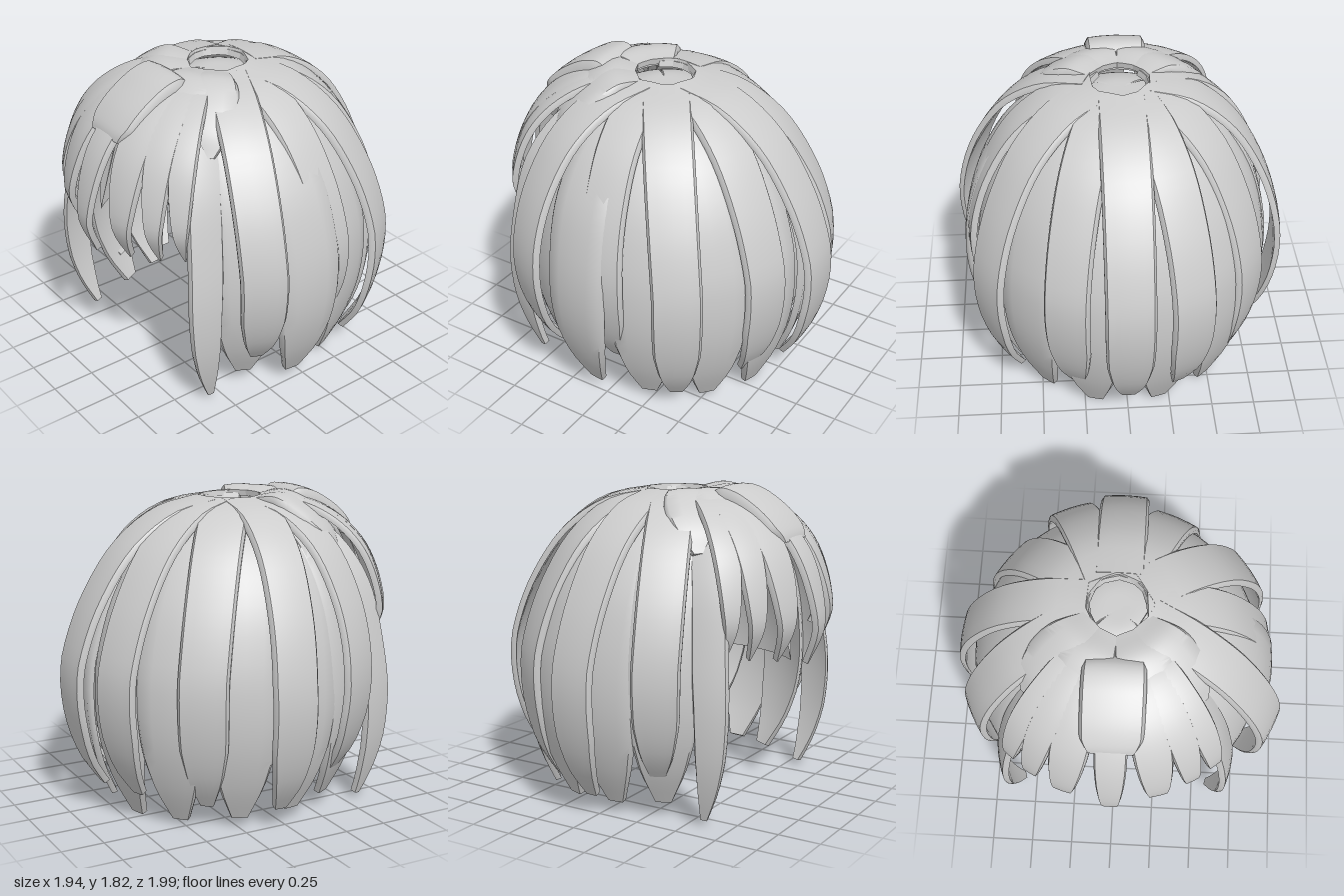
import * as THREE from 'three';
import { toCreasedNormals } from 'three/addons/utils/BufferGeometryUtils.js';

const rad = THREE.MathUtils.degToRad;
const ROWS = 26;

// Side profiles as [distance from crown axis, height]
const INNER = [[.16, 1.775], [.36, 1.71], [.58, 1.55], [.75, 1.29], [.84, 1.0], [.87, .75], [.855, .5], [.79, .25], [.7, .05]];
const OUTER = [[.17, 1.79], [.42, 1.73], [.66, 1.55], [.84, 1.26], [.935, .98], [.965, .75], [.94, .5], [.87, .28], [.77, .12]];
const LOCK = [[.3, 1.75], [.56, 1.6], [.77, 1.35], [.89, 1.0], [.94, .7], [.93, .4], [.88, .18], [.83, .04]];
const BANG = [[.2, 1.77], [.44, 1.765], [.66, 1.66], [.82, 1.5], [.92, 1.3], [.97, 1.08], [.95, .98], [.9, .86]];
const COVER = [[.17, 1.79], [.32, 1.81], [.48, 1.74], [.62, 1.62], [.69, 1.5]];
const SLAB = [[.3, 1.79], [.36, 1.825], [.46, 1.81], [.58, 1.75], [.69, 1.67], [.77, 1.58], [.785, 1.54]];
const CAP = [[0, 1.72], [.15, 1.715], [.34, 1.64], [.53, 1.49], [.68, 1.25], [.765, 1.0], [.795, .75], [.775, .4]];

// Width tables, spread evenly from root to tip
const BROAD = [.1, .2, .3, .36, .39, .4, .4, .39, .35, .25, .1];
const STRIP = [.28, .28, .28, .28, .28, .28, .28, .28, .27, .2, .08];
const POINTED = [.1, .15, .19, .21, .22, .215, .19, .15, .09, .01];
const SIDE = [.06, .12, .16, .18, .2, .2, .2, .19, .17, .12, .04];
const PLATE = [.18, .25, .31, .34, .34, .3, .22, .1];
const BLOCK = [.33, .345, .35, .35, .35, .345, .27];

function sample(table, t) {
  const f = Math.min(t * (table.length - 1), table.length - 1.0001), i = Math.floor(f);
  return THREE.MathUtils.lerp(table[i], table[i + 1], f - i);
}

// The crown sits slightly forward of the centre
const axisZ = y => .06 * THREE.MathUtils.clamp((y - .9) / .9, 0, 1);

function finish(pos, idx) {
  const g = new THREE.BufferGeometry();
  g.setAttribute('position', new THREE.Float32BufferAttribute(pos, 3));
  g.setIndex(idx);
  return toCreasedNormals(g, .75);
}

// A curved ribbon of hair with bevelled edges, swept down a meridian
function strandGeometry({ angle, profile, widths, scale = 1, end, reach = 1, twist = 0, thick = .035, bend = .6 }) {
  const a = rad(angle), w = rad(twist), top = profile[0][1], last = profile[profile.length - 1][1];
  const k = end === undefined ? 1 : (top - end) / (top - last);
  const curve = new THREE.CatmullRomCurve3(profile.map(([r, y]) =>
    new THREE.Vector3(r * reach, top - (top - y) * k, 0)));
  const us = [-1, -.9, -.5, 0, .5, .9, 1];
  const loop = [...us.map(u => [u, Math.abs(u) === 1 ? .5 : 1]), ...us.slice().reverse().map(u => [u, 0])];
  const M = loop.length, pos = [], idx = [];
  const across = new THREE.Vector3(Math.cos(a), 0, -Math.sin(a));
  for (let i = 0; i <= ROWS; i++) {
    const t = i / ROWS, p = curve.getPointAt(t), d = curve.getTangentAt(t);
    const normal = new THREE.Vector3(-d.y * Math.sin(a), d.x, -d.y * Math.cos(a));
    const S = across.clone().multiplyScalar(Math.cos(w)).addScaledVector(normal, Math.sin(w));
    const N = normal.clone().multiplyScalar(Math.cos(w)).addScaledVector(across, -Math.sin(w));
    const half = sample(widths, t) * scale / 2;
    for (const [u, h] of loop) {
      const x = u * half;
      const v = new THREE.Vector3(p.x * Math.sin(a), p.y, p.x * Math.cos(a) + axisZ(p.y))
        .addScaledVector(S, x).addScaledVector(N, h * thick - thick - x * x / (2 * bend));
      pos.push(v.x, v.y, v.z);
    }
  }
  for (let i = 0; i < ROWS; i++) for (let j = 0; j < M; j++) {
    const p = i * M + j, q = i * M + (j + 1) % M;
    idx.push(p, p + M, q, q, p + M, q + M);
  }
  const e = ROWS * M;
  for (let j = 1; j < M - 1; j++) idx.push(0, j, j + 1, e, e + j + 1, e + j);
  return finish(pos, idx);
}

// Thin under-cap, open at the face and cut to a shallow V at the nape
function capGeometry() {
  const curve = new THREE.CatmullRomCurve3(CAP.map(([r, y]) => new THREE.Vector3(r, y, 0)));
  const cols = 72, rows = 30, pos = [], idx = [];
  for (let j = 0; j <= cols; j++) {
    const a = j / cols * Math.PI * 2;
    const front = Math.cos(a) > Math.cos(rad(49));
    const hem = front ? 1.42 : .41 + .27 * Math.min(1, Math.abs(Math.sin(a)) * .78 / .6);
    let lo = 0, hi = 1;
    for (let n = 0; n < 24; n++) {
      const mid = (lo + hi) / 2;
      if (curve.getPoint(mid).y > hem) lo = mid; else hi = mid;
    }
    for (let i = 0; i <= rows; i++) {
      const p = curve.getPoint(lo * i / rows);
      pos.push(p.x * Math.sin(a), p.y, p.x * Math.cos(a) + axisZ(p.y));
    }
  }
  for (let j = 0; j < cols; j++) for (let i = 0; i < rows; i++) {
    const p = j * (rows + 1) + i, q = p + rows + 1;
    idx.push(p, p + 1, q, q, p + 1, q + 1);
  }
  return finish(pos, idx);
}

export function createModel() {
  const model = new THREE.Group();
  model.name = 'hair';
  const hair = new THREE.MeshStandardMaterial({ color: 0xcccccc });
  hair.name = 'hair grey';
  hair.side = THREE.DoubleSide;
  const add = (name, geometry) => {
    const mesh = new THREE.Mesh(geometry, hair);
    mesh.name = name;
    model.add(mesh);
  };
  const strand = (name, options) => add(name, strandGeometry(options));

  add('underCap', capGeometry());

  for (const s of [-1, 1]) {
    // Broad lower layer: [angle, tip height, reach]
    for (const [angle, end, reach] of [[61, .1, 1], [84, .08, s > 0 ? 1.07 : 1], [110, .06, .99], [138, .04, 1], [164, .01, .98]])
      strand('lowerStrand', { angle: s * angle, profile: INNER, widths: BROAD, end, reach, bend: .85 });
    // Long locks framing the face
    strand('faceLock', { angle: s > 0 ? 47 : -45.5, profile: LOCK, widths: SIDE, reach: 1.015, twist: -30 * s });
    // Plates over the forehead
    for (const [angle, reach] of [[24, 1], [46, .97]])
      strand('crownPlate', { angle: s * angle, profile: COVER, widths: PLATE, reach });
    // Side fringe
    for (const [angle, end, scale, reach] of [[16.5, .9, 1, .985], [29, .93, .78, .975], [38.5, .95, .7, .965]])
      strand('fringeLock', { angle: s * angle, profile: BANG, widths: POINTED, end, scale, reach });
  }

  // Raised upper strands: [angle, tip height, reach, width scale]
  for (const [angle, end, reach, scale] of [
    [180, .16, 1.03, 1], [-157, .17, .99, .95], [157, .17, .95, .95], [123, .12, 1, 1],
    [-125, .14, .93, 1], [-93, .12, 1, .95], [65, .28, 1.06, .95], [-63, .25, .99, .95], [95, .3, .94, .9]])
    strand('upperStrand', { angle, profile: OUTER, widths: STRIP, end, reach, scale, bend: 1 });

  // Centre fringe with its thick root block
  strand('centreFringe', { angle: 0, profile: BANG, widths: POINTED, end: .84, scale: .82, reach: 1.015 });
  strand('fringeRoot', { angle: 0, profile: SLAB, widths: BLOCK, thick: .06, bend: 1.2 });
  return model;
}
